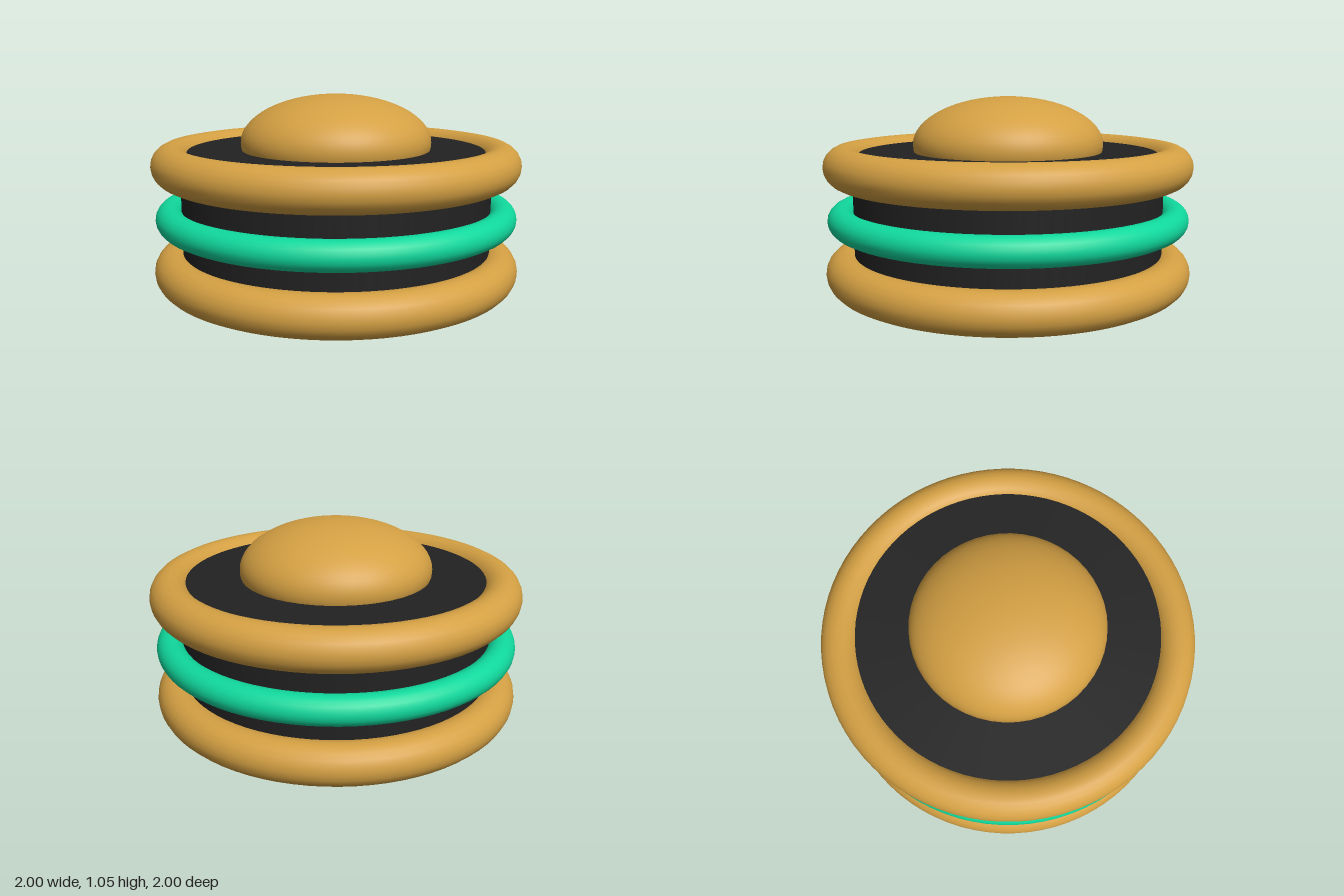
import * as THREE from 'three';

export function createModel() {
  const model = new THREE.Group();
  const gold = new THREE.MeshStandardMaterial({ name: 'gold', color: 0xd4a043 });
  const green = new THREE.MeshStandardMaterial({ name: 'green', color: 0x10d89c });
  const black = new THREE.MeshStandardMaterial({ name: 'black', color: 0x222222 });

  const add = (name, geometry, material, y) => {
    const mesh = new THREE.Mesh(geometry, material);
    mesh.name = name;
    mesh.position.y = y;
    model.add(mesh);
    return mesh;
  };
  // Horizontal ring given its outer radius and tube radius
  const ring = (name, outer, tube, material, y) =>
    add(name, new THREE.TorusGeometry(outer - tube, tube, 20, 80).rotateX(-Math.PI / 2), material, y);

  const middle = 0.394;

  // Drum, its end faces slightly sunk inside the rims
  add('drum', new THREE.CylinderGeometry(0.848, 0.848, 0.706, 80), black, middle);

  // Rims and the central band
  ring('bottomRim', 1, 0.107, gold, middle - 0.287);
  ring('topRim', 1, 0.107, gold, middle + 0.287);
  ring('centreBand', 0.985, 0.075, green, middle);

  // Flattened dome button on top
  add('dome', new THREE.SphereGeometry(0.522, 48, 32).scale(1, 0.5, 1), gold, 0.785);

  return model;
}
